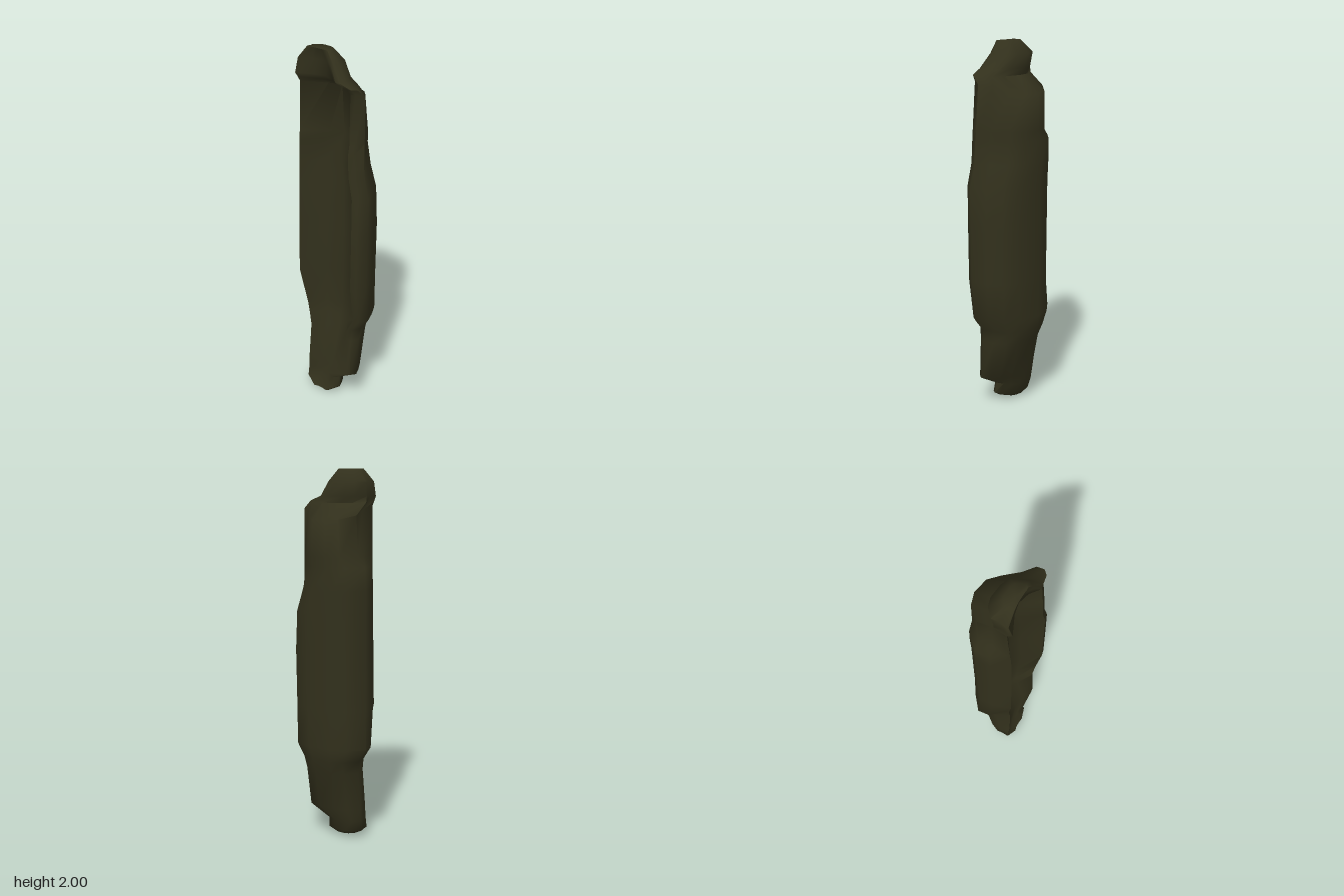
import * as THREE from 'three';
import { toCreasedNormals } from 'three/addons/utils/BufferGeometryUtils.js';

const bark = new THREE.MeshStandardMaterial({ color: 0x32301c });
bark.name = 'dark bark';

// Closed loft through rings of equal length, with fans over both ends
function loft(rings) {
  const n = rings[0].length, pos = [], idx = [];
  rings.forEach(r => r.forEach(p => pos.push(...p)));
  for (let j = 0; j < rings.length - 1; j++) {
    for (let i = 0; i < n; i++) {
      const a = j * n + i, b = j * n + (i + 1) % n;
      idx.push(a, a + n, b, b, a + n, b + n);
    }
  }
  [0, rings.length - 1].forEach(j => {
    const c = pos.length / 3, m = [0, 0, 0];
    rings[j].forEach(p => p.forEach((v, k) => { m[k] += v / n; }));
    pos.push(...m);
    for (let i = 0; i < n; i++) {
      const a = j * n + i, b = j * n + (i + 1) % n;
      if (j) idx.push(c, b, a); else idx.push(c, a, b);
    }
  });
  const g = new THREE.BufferGeometry();
  g.setAttribute('position', new THREE.Float32BufferAttribute(pos, 3));
  g.setIndex(idx);
  return toCreasedNormals(g, 1.1);
}

// Half-round outline with a faceted back and a hollow front.
// u runs over the width, v from back to front; a lip entry places the point
// that far from the right-hand rim instead; hollow is the share of the trough
// depth, and du, dv shift the points where the back corner is chipped.
const OUTLINE = [
  { lip: -0.006, v: 0.93 }, { u: 0.02, v: 0.65 }, { u: 0, v: 0.37 },
  { u: 0.17, v: 0.09 }, { u: 0.35, v: 0 },
  { u: 0.65, v: 0.04, du: -0.08, dv: 0.02 },
  { u: 0.84, v: 0.16, du: -0.13, dv: 0.1 },
  { u: 0.93, v: 0.45, du: -0.07, dv: 0.1 },
  { u: 1, v: 0.74 }, { u: 0.94, v: 0.92 }, { u: 0.87, v: 0.95 },
  { u: 0.7, v: 0.93, hollow: 0.7 }, { u: 0.5, v: 0.93, hollow: 1 },
  { u: 0.31, v: 0.94, hollow: 0.75 }, { lip: 0, v: 1 },
];
function ring([y, x0, rim, x1, back, front, depth, slope = 0, chip = 0]) {
  return OUTLINE.map(({ u, lip, v, hollow = 0, du = 0, dv = 0 }) => [
    lip === undefined ? x0 + (u + du * chip) * (x1 - x0) : rim + lip,
    y + slope * (v - 0.5),
    back + (v + dv * chip) * (front - back) - hollow * depth,
  ]);
}

export function createModel() {
  const group = new THREE.Group();
  // Height, left, rim, right, back, front, trough depth, slope of cut, chip
  const rings = [
    // Splintered foot
    [0.01, -0.12, -0.10, 0.00, 0.005, 0.13, 0, -0.02],
    [0.04, -0.17, -0.16, 0.055, -0.005, 0.115, 0.005],
    [0.10, -0.175, -0.155, 0.045, -0.025, 0.112, 0.015],
    [0.17, -0.18, -0.15, 0.17, -0.05, 0.115, 0.03],
    // Body
    [0.39, -0.183, -0.135, 0.17, -0.10, 0.11, 0.08],
    [0.46, -0.195, -0.145, 0.175, -0.13, 0.11, 0.095],
    [0.53, -0.24, -0.155, 0.23, -0.134, 0.113, 0.105],
    [0.74, -0.23, -0.185, 0.233, -0.137, 0.144, 0.13],
    [1.05, -0.23, -0.18, 0.238, -0.14, 0.142, 0.13],
    [1.26, -0.23, -0.178, 0.24, -0.142, 0.14, 0.13, 0, 0.15],
    [1.38, -0.23, -0.176, 0.21, -0.143, 0.138, 0.13, 0, 0.35],
    [1.50, -0.226, -0.176, 0.205, -0.144, 0.135, 0.125, 0, 0.6],
    [1.55, -0.185, -0.177, 0.203, -0.145, 0.13, 0.12, 0, 0.7],
    [1.775, -0.178, -0.182, 0.195, -0.146, 0.116, 0.09, 0.07, 1],
    // Sloping shoulder and broken peak
    [1.83, -0.183, -0.184, 0.185, -0.005, 0.13, 0.06, 0.01],
    [1.86, -0.185, -0.185, 0.12, -0.01, 0.147, 0.05],
    [1.935, -0.188, -0.185, 0.06, -0.02, 0.125, 0.03],
    [2.00, -0.13, -0.125, 0.01, 0.04, 0.118, 0],
  ];
  const slab = new THREE.Mesh(loft(rings.map(ring)), bark);
  slab.name = 'barkSlab';
  group.add(slab);
  return group;
}
